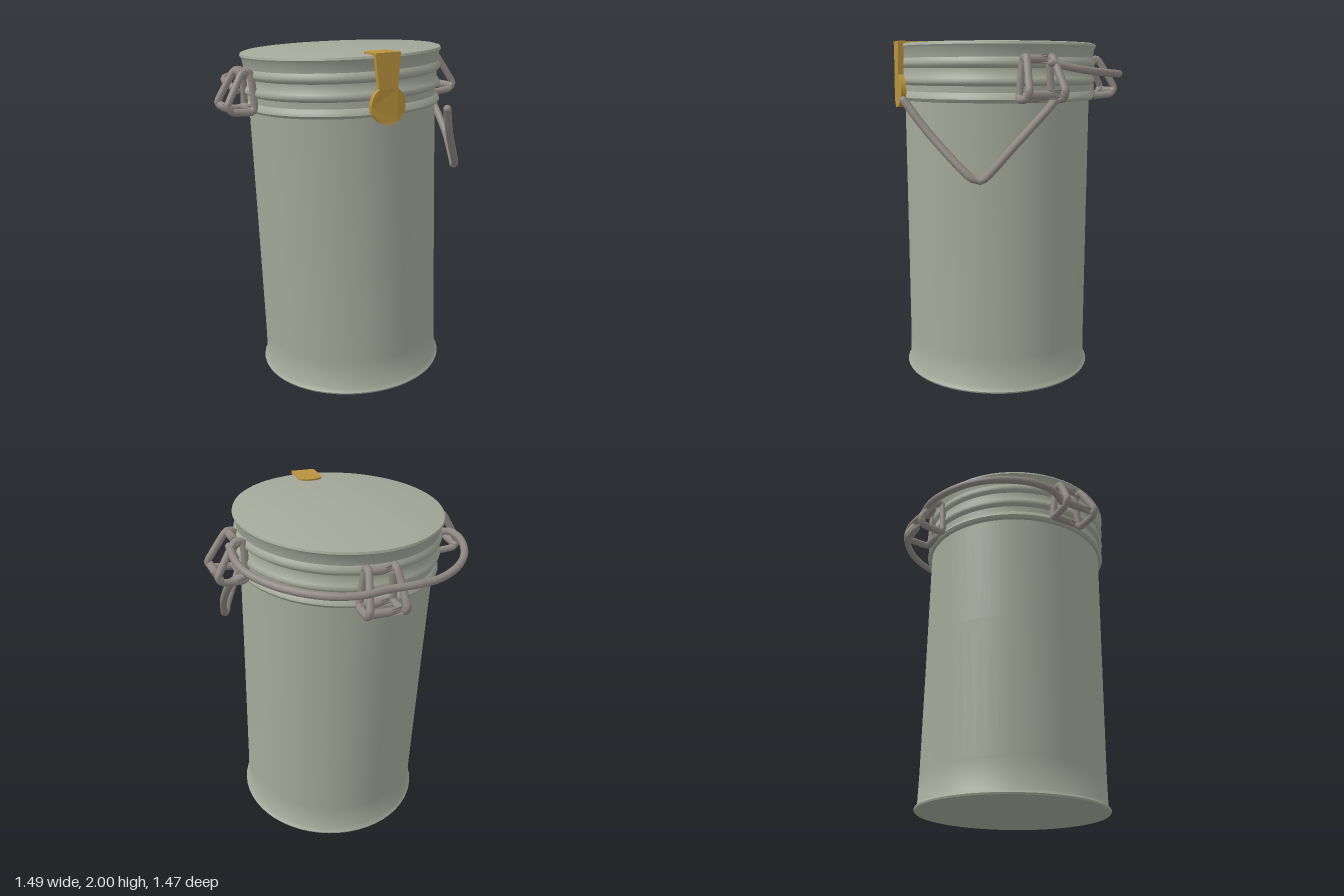
import * as THREE from 'three';
import { toCreasedNormals } from 'three/addons/utils/BufferGeometryUtils.js';

const paint = new THREE.MeshStandardMaterial({ color: 0xa3a899 });
const metal = new THREE.MeshStandardMaterial({ color: 0x8f8882 });
const tapeColor = new THREE.MeshStandardMaterial({ color: 0xb8923c });

const V = (p) => new THREE.Vector3(...p);

function add(parent, name, geometry, material) {
  const mesh = new THREE.Mesh(geometry, material);
  mesh.name = name;
  parent.add(mesh);
  return mesh;
}

function lathe(parent, name, profile) {
  const geo = new THREE.LatheGeometry(profile.map(([r, y]) => new THREE.Vector2(r, y)), 56);
  return add(parent, name, toCreasedNormals(geo, 0.7), paint);
}

// Round wire through points, with rounded ends when open
function wire(parent, name, points, { radius = 0.021, closed = false, tension = 0.5, steps = 40 } = {}) {
  const group = new THREE.Group();
  group.name = name;
  parent.add(group);
  const curve = new THREE.CatmullRomCurve3(points.map(V), closed, 'catmullrom', tension);
  add(group, name + 'Wire', new THREE.TubeGeometry(curve, steps, radius, 8, closed), metal);
  if (!closed) {
    for (const p of [points[0], points[points.length - 1]]) {
      add(group, name + 'End', new THREE.SphereGeometry(radius, 8, 6), metal).position.set(...p);
    }
  }
  return group;
}

// Bent wire bracket, radial direction along +x
function clasp(parent, name, x, z) {
  const group = new THREE.Group();
  group.name = name;
  group.rotation.y = Math.atan2(-z, x);
  parent.add(group);
  for (const s of [-1, 1]) {
    wire(group, 'claspSide', [
      [0.575, 1.86, s * 0.075], [0.625, 1.865, s * 0.075], [0.725, 1.70, s * 0.1],
      [0.70, 1.66, s * 0.1], [0.575, 1.655, s * 0.095],
    ], { closed: true, tension: 0.15 });
  }
  for (const [r, y, half] of [[0.61, 1.86, 0.075], [0.715, 1.68, 0.1], [0.58, 1.66, 0.095]]) {
    wire(group, 'claspBar', [[r, y, -half], [r, y, half]], { radius: 0.023, steps: 2 });
  }
}

export function createModel() {
  const model = new THREE.Group();
  model.name = 'canister';

  // The can leans slightly
  const can = new THREE.Group();
  can.name = 'can';
  can.position.set(0.038, 0.03, 0.042);
  can.quaternion.setFromUnitVectors(V([0, 1, 0]), V([-0.03, 1, -0.022]).normalize());
  model.add(can);

  lathe(can, 'body', [
    [0, 0], [0.54, 0], [0.562, -0.002], [0.566, 0.008], [0.548, 0.03], [0.545, 0.2],
    [0.546, 1.0], [0.548, 1.65],
  ]);

  // Lid with three rolled ridges
  lathe(can, 'lid', [
    [0.54, 1.63], [0.565, 1.635], [0.575, 1.65], [0.57, 1.667], [0.554, 1.685],
    [0.554, 1.72], [0.574, 1.733], [0.578, 1.746], [0.572, 1.762], [0.559, 1.778],
    [0.559, 1.815], [0.576, 1.828], [0.58, 1.842], [0.575, 1.858], [0.566, 1.872],
    [0.573, 1.92], [0.584, 1.938], [0.58, 1.95], [0.565, 1.955], [0, 1.955],
  ]);

  clasp(can, 'backClasp', 0.22, -0.63);
  clasp(can, 'leftSideClasp', 0.65, 0.18);
  clasp(can, 'rightSideClasp', -0.64, -0.2);

  // Wire bail running round the back between the clasps
  wire(model, 'bail', [
    [-0.585, 1.76, -0.24], [-0.585, 1.79, -0.33], [-0.52, 1.8, -0.47], [-0.39, 1.8, -0.605],
    [-0.24, 1.8, -0.685], [-0.08, 1.8, -0.712], [0.07, 1.81, -0.695], [0.2, 1.81, -0.645],
    [0.34, 1.81, -0.61], [0.48, 1.815, -0.52], [0.6, 1.825, -0.36], [0.665, 1.84, -0.17],
    [0.665, 1.86, -0.02], [0.62, 1.89, 0.12],
  ], { steps: 90 });

  // Loose bent end hanging from the side clasp
  wire(model, 'looseWire', [
    [0.585, 1.73, 0.06], [0.63, 1.68, 0.12], [0.57, 1.47, 0.32], [0.5, 1.31, 0.45],
    [0.465, 1.295, 0.485], [0.42, 1.33, 0.53], [0.24, 1.52, 0.63], [0.11, 1.695, 0.71],
  ], { radius: 0.022, steps: 60 });

  // Tape seal: strip with a round tab on the wall, folded over the lid
  const tape = new THREE.Group();
  tape.name = 'tapeSeal';
  tape.rotation.y = Math.atan2(-0.185, 0.565);
  can.add(tape);

  const tab = new THREE.Shape();
  tab.moveTo(0.072, 1.965);
  tab.lineTo(-0.072, 1.965);
  tab.lineTo(-0.055, 1.79);
  tab.absarc(0, 1.695, 0.1, Math.PI * 0.68, Math.PI * 2.32, false);
  tab.lineTo(0.055, 1.79);
  const tabGeo = new THREE.ExtrudeGeometry(tab, { depth: 0.03, bevelEnabled: false, curveSegments: 20 });
  const pos = tabGeo.attributes.position;
  for (let i = 0; i < pos.count; i++) {
    pos.setZ(i, pos.getZ(i) - pos.getX(i) ** 2 / 1.2);
  }
  tabGeo.computeVertexNormals();
  add(tape, 'tapeTab', tabGeo, tapeColor).position.z = 0.578;

  const fold = new THREE.Shape();
  fold.moveTo(-0.072, -0.605);
  fold.lineTo(0.072, -0.605);
  fold.lineTo(0.072, -0.47);
  fold.quadraticCurveTo(0.065, -0.435, 0, -0.43);
  fold.quadraticCurveTo(-0.065, -0.435, -0.072, -0.47);
  const foldGeo = new THREE.ExtrudeGeometry(fold, { depth: 0.012, bevelEnabled: false });
  foldGeo.rotateX(-Math.PI / 2);
  add(tape, 'tapeFold', foldGeo, tapeColor).position.y = 1.953;

  return model;
}
